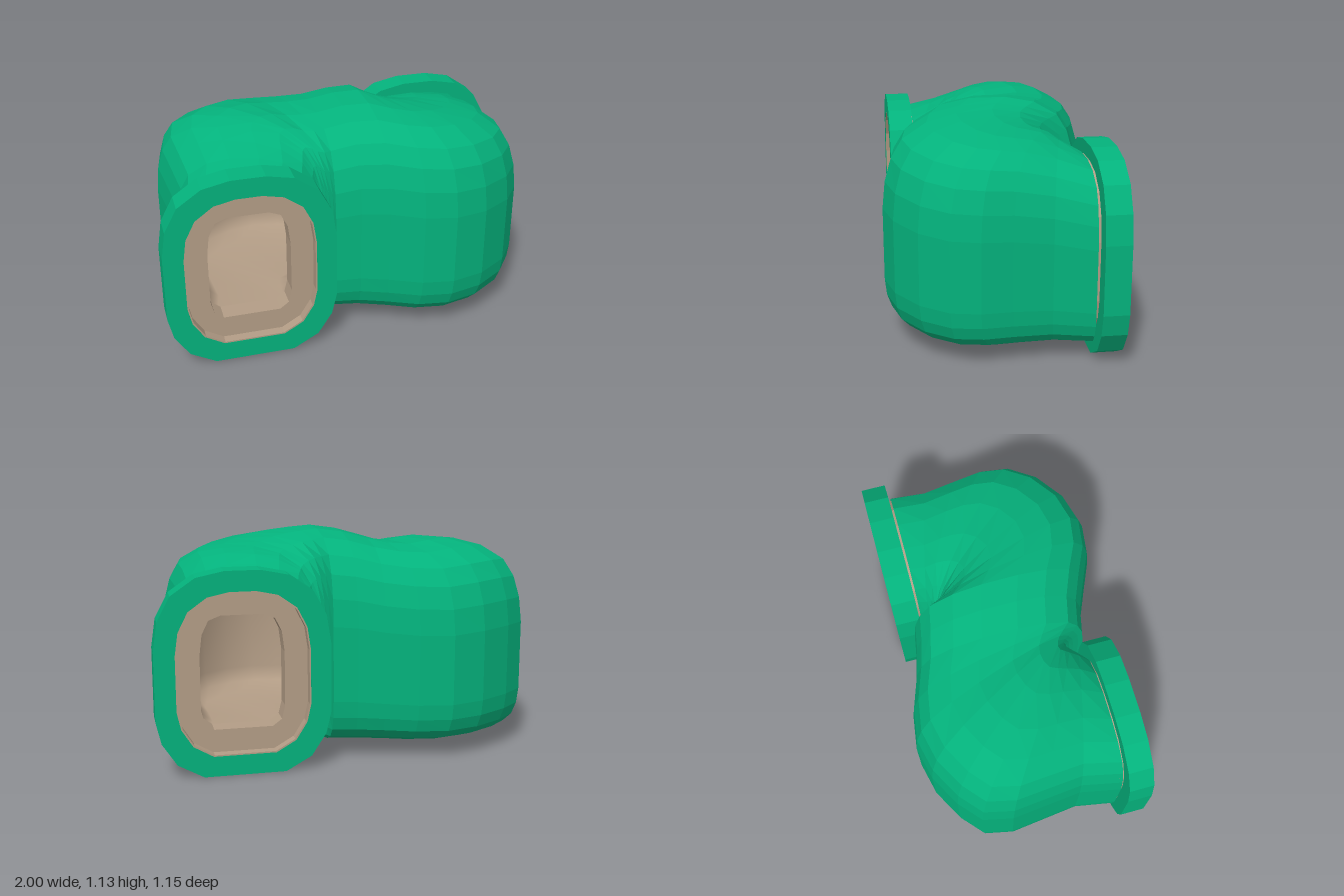
import * as THREE from 'three';

// Half outlines as [fraction of half width, fraction of height], bottom to top
const BODY = [[0.68, 0], [0.84, 0.03], [0.93, 0.075], [0.98, 0.14], [1, 0.22], [1, 0.58], [0.97, 0.71], [0.9, 0.82], [0.78, 0.905], [0.52, 0.972], [0.2, 1]];
const SOFT = [[0.47, 0], [0.77, 0.07], [0.94, 0.18], [1, 0.29], [1, 0.63], [0.95, 0.77], [0.8, 0.89], [0.52, 0.972], [0.2, 1]];
const SQUARE = [[0.7, 0], [0.92, 0.06], [1, 0.18], [1, 0.66], [0.94, 0.84], [0.78, 0.96], [0.5, 1]];
const fullOutline = (half) => [...half, ...half.map(([t, h]) => [-t, h]).reverse()];

// Cross-sections of the S bend: left rail x, z, right rail x, z, top height
const RINGS = [
  [-0.92, 0.368, -0.23, 0.368, 0.94],
  [-0.885, 0.16, -0.2, 0.335, 0.98],
  [-0.91, -0.04, -0.18, 0.31, 1.02],
  [-0.93, -0.2, -0.17, 0.3, 1.05],
  [-0.9, -0.35, -0.165, 0.295, 1.07],
  [-0.79, -0.45, -0.16, 0.3, 1.08],
  [-0.63, -0.54, -0.15, 0.32, 1.075],
  [-0.46, -0.58, -0.14, 0.345, 1.06],
  [-0.29, -0.555, -0.13, 0.375, 1.065],
  [-0.13, -0.5, -0.125, 0.4, 1.085],
  [0, -0.465, 0, 0.425, 1.12],
  [0.12, -0.445, 0.13, 0.48, 1.135],
  [0.13, -0.4, 0.29, 0.55, 1.12],
  [0.14, -0.36, 0.45, 0.572, 1.105],
  [0.15, -0.335, 0.62, 0.53, 1.09],
  [0.16, -0.325, 0.78, 0.425, 1.07],
  [0.165, -0.325, 0.88, 0.29, 1.055],
  [0.17, -0.33, 0.905, 0.15, 1.045],
  [0.185, -0.335, 0.89, 0, 1.03],
  [0.2, -0.35, 0.88, -0.19, 0.99],
  [0.23, -0.387, 0.92, -0.387, 0.94],
];

// Skin a closed outline along the rings
function sweep(half, widthScale, bottom, topOf, inward) {
  const outline = fullOutline(half);
  const n = outline.length;
  const pos = [], index = [];
  for (const [lx, lz, rx, rz, h] of RINGS) {
    for (const [t, f] of outline) {
      const k = (t * widthScale) / 2;
      pos.push((lx + rx) / 2 + k * (rx - lx), bottom + f * (topOf(h) - bottom), (lz + rz) / 2 + k * (rz - lz));
    }
  }
  for (let i = 0; i < RINGS.length - 1; i++) {
    for (let j = 0; j < n; j++) {
      const a = i * n + j, b = i * n + ((j + 1) % n), c = a + n, d = b + n;
      if (inward) index.push(a, b, c, b, d, c);
      else index.push(a, c, b, b, c, d);
    }
  }
  const geo = new THREE.BufferGeometry();
  geo.setAttribute('position', new THREE.Float32BufferAttribute(pos, 3));
  geo.setIndex(index);
  geo.computeVertexNormals();
  return geo;
}

const points = (half, w, y0, y1) => fullOutline(half).map(([t, f]) => new THREE.Vector2(t * w, y0 + f * (y1 - y0)));

// Extruded ring between two outlines
function ring(outer, inner, z0, z1) {
  const shape = new THREE.Shape(outer);
  shape.holes.push(new THREE.Path(inner));
  return new THREE.ExtrudeGeometry(shape, { depth: z1 - z0, bevelEnabled: false }).translate(0, 0, z0);
}

export function createModel() {
  const green = new THREE.MeshStandardMaterial({ color: 0x04b27c, side: THREE.DoubleSide, flatShading: true });
  green.name = 'green';
  const tan = new THREE.MeshStandardMaterial({ color: 0xb39d86, side: THREE.DoubleSide });
  tan.name = 'tan';

  const model = new THREE.Group();
  const add = (parent, name, geo, mat) => {
    const mesh = new THREE.Mesh(geo, mat);
    mesh.name = name;
    parent.add(mesh);
  };

  // S-shaped pipe and its lining
  add(model, 'pipeBody', sweep(BODY, 1, 0.08, (h) => h, false), green);
  add(model, 'pipeLining', sweep(SQUARE, 0.67, 0.19, () => 0.83, true), tan);

  // Flange with a recessed collar at each mouth
  const opening = points(SOFT, 0.325, 0.1, 0.9);
  const hole = points(SQUARE, 0.205, 0.22, 0.78);
  const flangeGeo = ring(points(SOFT, 0.425, 0, 1), opening, 0.375, 0.5);
  const collarGeo = ring(points(SOFT, 0.338, 0.085, 0.93), hole, 0.35, 0.38);
  const faceGeo = ring(opening, hole, 0.37, 0.45);
  const rimGeo = ring(opening, points(SOFT, 0.318, 0.107, 0.893), 0.44, 0.499);
  for (const front of [true, false]) {
    const end = new THREE.Group();
    end.name = front ? 'frontMouth' : 'rearMouth';
    end.position.set(front ? -0.575 : 0.575, 0, front ? 0 : -0.025);
    end.rotation.y = front ? 0 : Math.PI;
    add(end, 'flange', flangeGeo, green);
    add(end, 'collar', collarGeo, tan);
    add(end, 'collarFace', faceGeo, tan);
    add(end, 'collarRim', rimGeo, tan);
    model.add(end);
  }
  return model;
}
